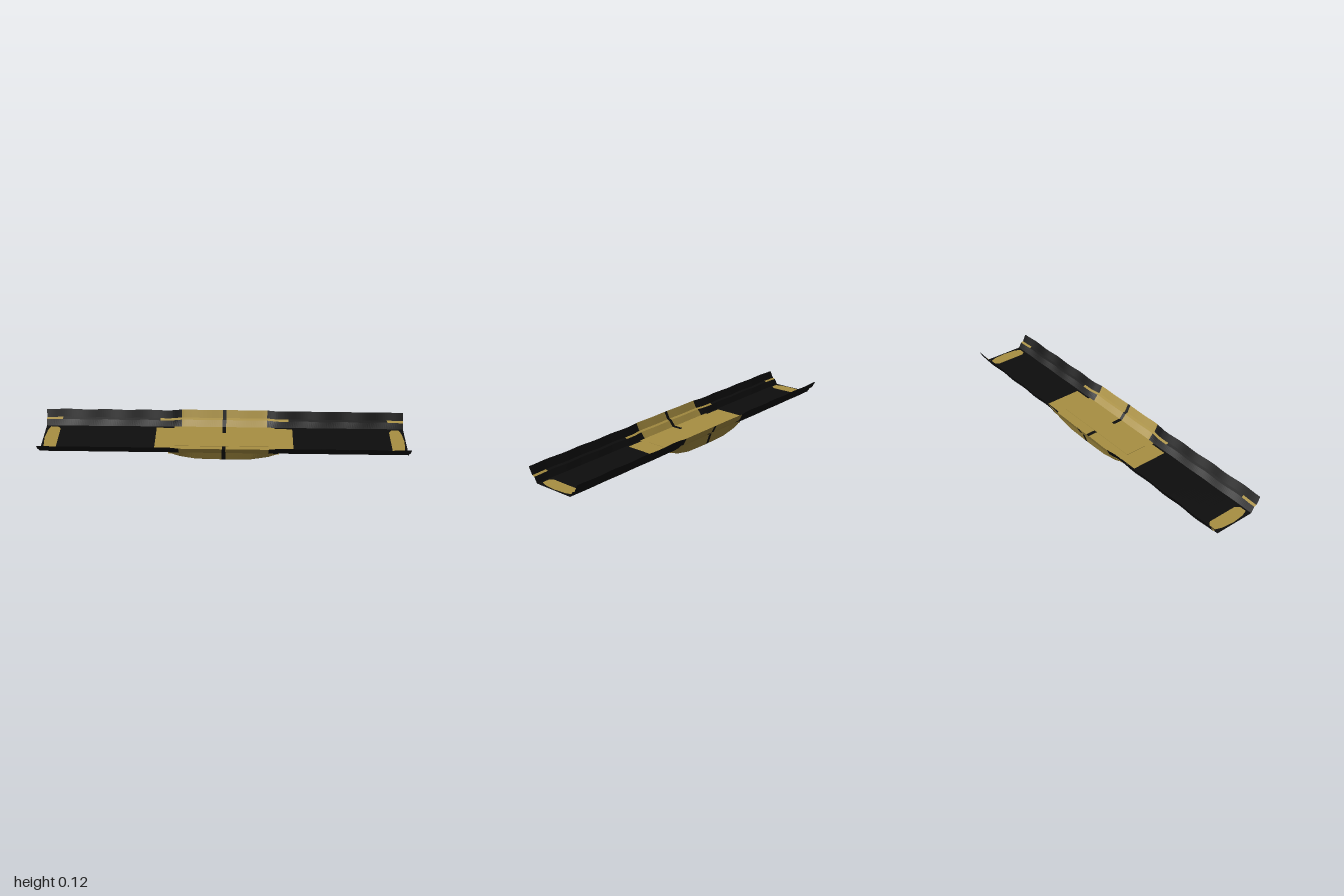
import * as THREE from 'three';

const gold = new THREE.MeshStandardMaterial({ color: 0xa88f42, side: THREE.DoubleSide });
gold.name = 'gold';
const black = new THREE.MeshStandardMaterial({ color: 0x0d0d0d, side: THREE.DoubleSide });
black.name = 'black';

// Flat-shaded skin through cross-sections along x; pick() returns 0 gold, 1 black, -1 open.
function skin(name, half, step, section, pick) {
  const buckets = [[], []];
  const n = Math.round((2 * half) / step);
  for (let i = 0; i < n; i++) {
    const x0 = -half + i * step, x1 = x0 + step;
    const a = section(x0), b = section(x1);
    for (let j = 0; j < a.length - 1; j++) {
      const c = pick(Math.abs((x0 + x1) / 2), j);
      if (c < 0) continue;
      const p = [x0, ...a[j]], q = [x1, ...b[j]], r = [x1, ...b[j + 1]], s = [x0, ...a[j + 1]];
      buckets[c].push(...p, ...q, ...r, ...p, ...r, ...s);
    }
  }
  const geo = new THREE.BufferGeometry();
  geo.setAttribute('position', new THREE.Float32BufferAttribute(buckets.flat(), 3));
  geo.addGroup(0, buckets[0].length / 3, 0);
  geo.addGroup(buckets[0].length / 3, buckets[1].length / 3, 1);
  geo.computeVertexNormals();
  const mesh = new THREE.Mesh(geo, [gold, black]);
  mesh.name = name;
  return mesh;
}

// Mirror a half section given as [y, z] from the +z edge inwards.
const mirror = h => [...h, ...h.slice().reverse().map(([y, z]) => [y, -z])];

// Horizontal plate with an optional hole, extruded upwards from y.
function plate(name, shape, y, height, mat) {
  const geo = new THREE.ExtrudeGeometry(shape, { depth: height, bevelEnabled: false });
  geo.rotateX(-Math.PI / 2).translate(0, y, 0);
  const mesh = new THREE.Mesh(geo, mat);
  mesh.name = name;
  return mesh;
}

const rect = (x0, x1, z, Type = THREE.Shape) => new Type([
  new THREE.Vector2(x0, -z), new THREE.Vector2(x1, -z),
  new THREE.Vector2(x1, z), new THREE.Vector2(x0, z)]);

export function createModel() {
  const g = new THREE.Group();
  g.name = 'beltWithBuckle';

  // Rippled trough-shaped strap with stepped walls
  const strap = x => {
    const swell = 1 - THREE.MathUtils.smoothstep(Math.abs(x), 0.22, 0.3);
    const w = 0.0025 * Math.cos((x * Math.PI * 2) / 0.22) * (1 - swell * 0.6) + 0.007 * swell;
    return mirror([[0.12, 0.171 + w], [0.08, 0.15 + w], [0.075, 0.136 + w],
      [0.045, 0.116 + w * 0.3], [0.045, 0.105]]);
  };
  g.add(skin('strap', 1, 0.01, strap, (x, j) => {
    const k = Math.min(j, 8 - j);
    if (k === 4) return x < 0.385 ? 0 : 1;
    if (x < 0.01) return 1;
    if (x < 0.24) return 0;
    if (k === 1) return x < 0.36 || x > 0.91 ? 0 : 1;
    return k === 3 && x < 0.28 ? 0 : 1;
  }));

  // Bulging buckle shell under the strap, open at the windows
  const shell = x => {
    const a = Math.abs(x);
    const k = THREE.MathUtils.clamp((0.3 - a) / 0.06, 0, 1);
    const yb = a < 0.15 ? 0.02 * a : a < 0.24 ? 0.003 + (a - 0.15) * 0.19 : 0.02 + (a - 0.24) * 0.4;
    return mirror([[0.044 + 0.024 * k, 0.118 + 0.027 * k], [Math.min(yb + 0.008, 0.044), 0.123],
      [yb, 0.115], [yb, 0.047]]);
  };
  g.add(skin('buckleShell', 0.3, 0.01, shell, (x, j) => {
    if (j === 3 && ((x > 0.04 && x < 0.13) || x > 0.2)) return -1;
    return x < 0.01 && j !== 3 ? 1 : 0;
  }));

  // Raised inner panel, dark lining and seam strips
  g.add(plate('innerPanel', rect(-0.27, 0.27, 0.06), 0.0455, 0.0025, gold));
  g.add(plate('shellLining', rect(-0.295, 0.295, 0.114), 0.0425, 0.001, black));
  for (const s of [-1, 1]) {
    const seam = plate('floorSeam', rect(-0.01, 0.01, 0.0275), 0.0452, 0.001, black);
    seam.position.z = s * 0.0875;
    g.add(seam);
  }

  for (const s of [-1, 1]) {
    // Rectangular window frame at each buckle end
    const frame = rect(-0.05, 0.05, 0.055);
    frame.holes.push(rect(-0.037, 0.037, 0.043, THREE.Path));
    const f = plate('windowFrame', frame, 0.016, 0.028, gold);
    f.position.x = s * 0.25;
    g.add(f);

    // Oval badge plate at each strap end
    const oval = new THREE.Shape([[-0.035, -0.085], [-0.018, -0.105], [0.02, -0.105], [0.033, -0.07],
      [0.04, 0], [0.033, 0.07], [0.02, 0.105], [-0.018, 0.105], [-0.035, 0.085]]
      .map(([x, z]) => new THREE.Vector2(x * s, z)));
    const o = plate('endPlate', oval, 0.044, 0.002, gold);
    o.position.x = s * 0.953;
    g.add(o);
  }
  return g;
}
